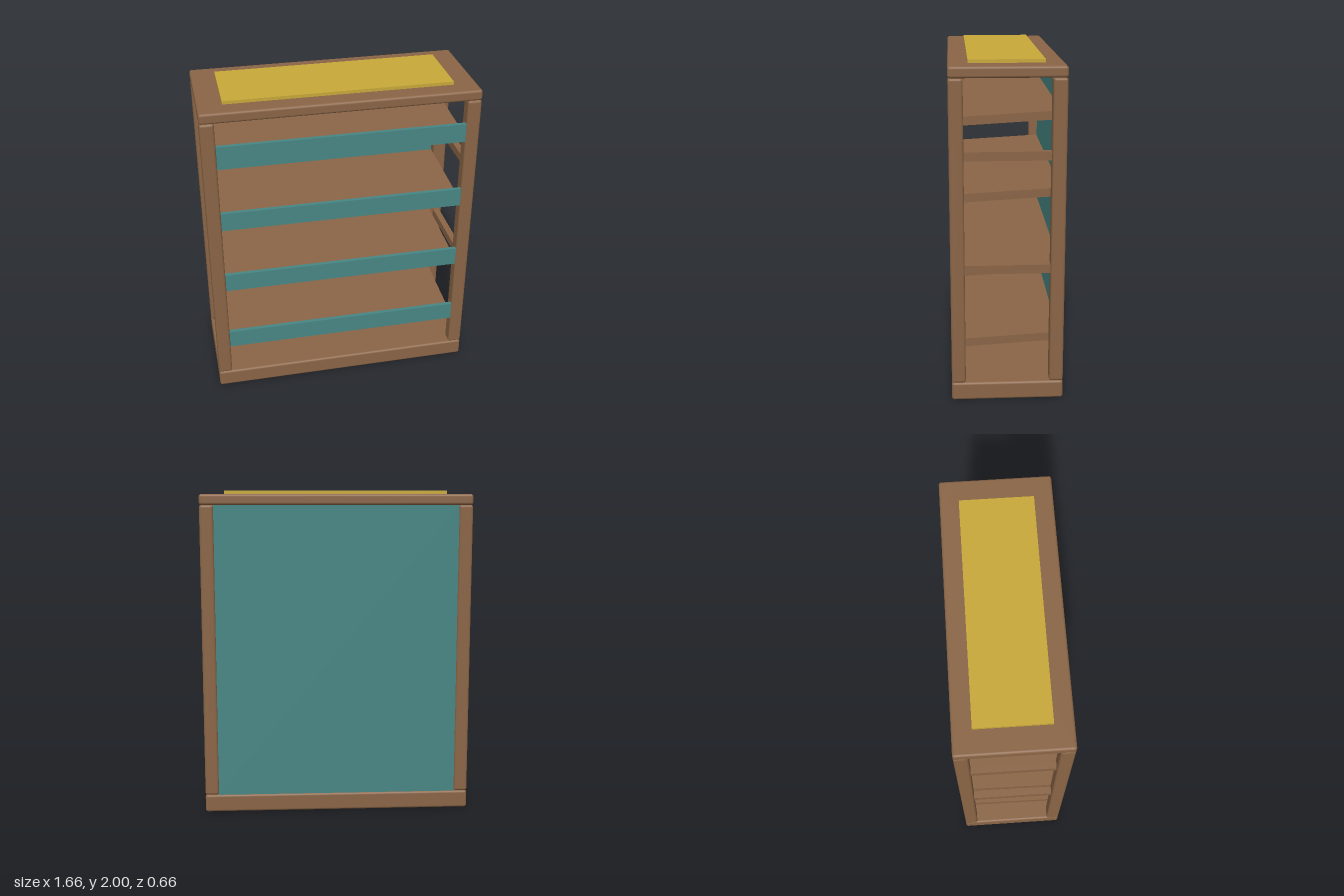
import * as THREE from 'three';
import { RoundedBoxGeometry } from 'three/addons/geometries/RoundedBoxGeometry.js';

export function createModel() {
  const group = new THREE.Group();
  group.name = 'shelfRack';

  const mat = (name, color) => {
    const m = new THREE.MeshStandardMaterial({ color });
    m.name = name;
    return m;
  };
  const wood = mat('brownWood', 0x8a6546);
  const teal = mat('tealPaint', 0x478684);
  const gold = mat('goldInlay', 0xc8a83a);

  const add = (name, geometry, material, x, y, z) => {
    const mesh = new THREE.Mesh(geometry, material);
    mesh.name = name;
    mesh.position.set(x, y, z);
    group.add(mesh);
    return mesh;
  };
  const rounded = (w, h, d) => new RoundedBoxGeometry(w, h, d, 3, 0.015);
  const box = (w, h, d) => new THREE.BoxGeometry(w, h, d);

  // base, top slab and inlay
  add('base', rounded(1.66, 0.11, 0.66), wood, 0, 0.055, 0);
  add('topSlab', rounded(1.66, 0.065, 0.66), wood, 0, 1.9475, 0);
  add('topInlay', box(1.37, 0.024, 0.435), gold, 0, 1.988, 0);

  // corner posts and side rails
  for (const sx of [-1, 1]) {
    const side = sx > 0 ? 'left' : 'right';
    for (const sz of [-1, 1]) {
      add(side + (sz > 0 ? 'FrontPost' : 'BackPost'),
        rounded(0.085, 1.805, 0.083), wood, sx * 0.7875, 1.0125, sz * 0.2885);
    }
    for (const y of [0.81, 1.477]) {
      add(side + 'Rail', box(0.04, 0.052, 0.51), wood, sx * 0.7875, y, 0);
    }
  }

  // back panel
  add('backPanel', box(1.49, 1.805, 0.02), teal, 0, 1.0125, -0.316);

  // tilted shelves, each with a front lip
  for (let i = 0; i < 4; i++) {
    const y = 0.347 + i * 0.4445;
    add('shelf', box(1.49, 0.05, 0.61), wood, 0, y, 0).rotation.x = 0.056;
    add('shelfLip', box(1.49, 0.117, 0.025), teal, 0, y + 0.029, 0.315);
  }
  return group;
}
